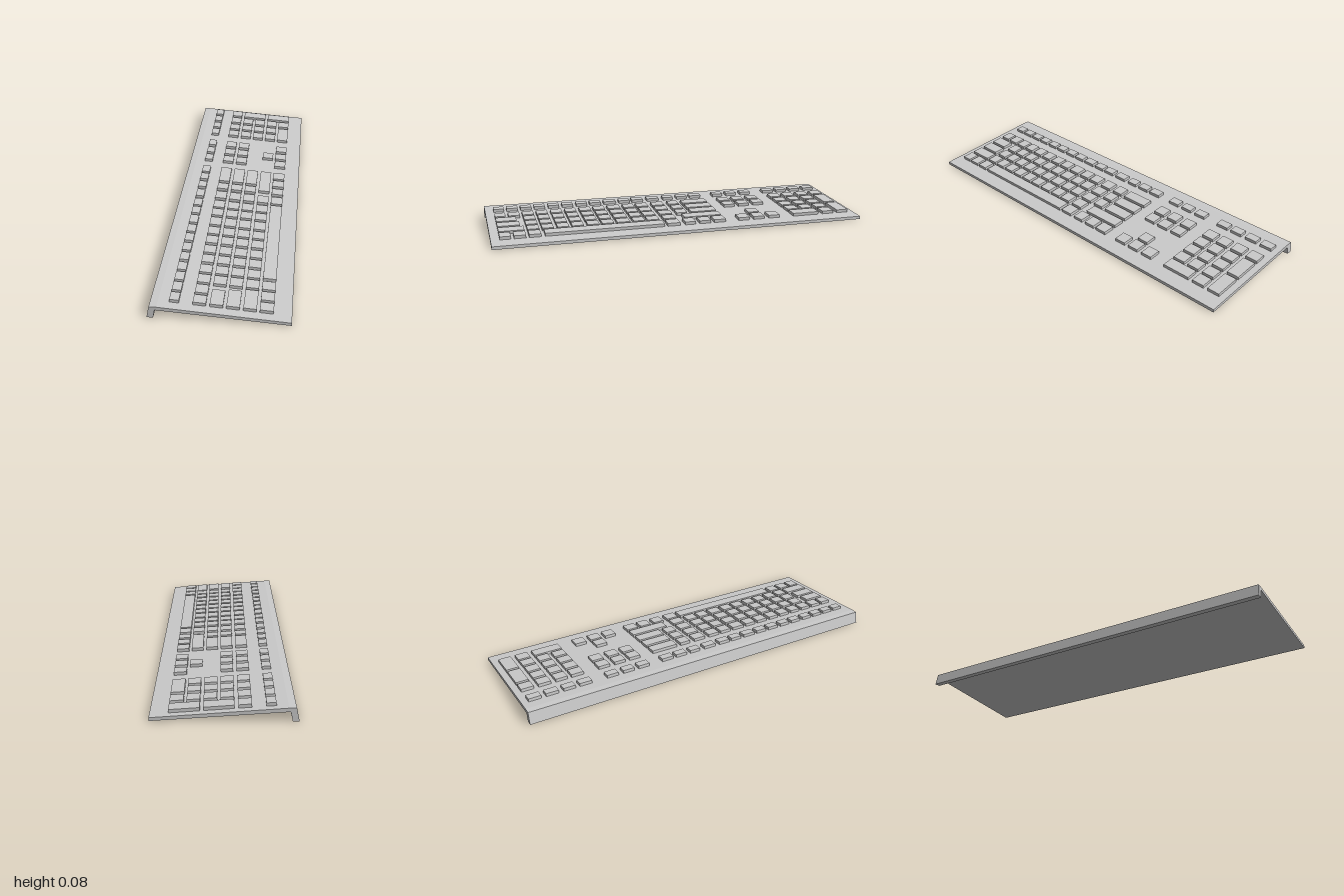
import * as THREE from 'three';

const material = new THREE.MeshStandardMaterial({ color: 0xcccccc, flatShading: true });
const SLOPE = 0.0736;   // fall of the deck per unit of x
const KEY_H = 0.016;
const deckY = (x) => 0.063 - SLOPE * (x + 0.283);

// x range of each key row: function row, then number row to space row
const ROWS = [[-0.231, -0.187], [-0.124, -0.064], [-0.047, 0.014], [0.029, 0.09], [0.106, 0.167], [0.181, 0.244]];

// z range of each key column, by block
const MAIN = [
  [0.9, 0.955], [0.825, 0.885], [0.75, 0.81], [0.676, 0.735], [0.597, 0.657],
  [0.52, 0.58], [0.438, 0.5], [0.36, 0.422], [0.273, 0.342], [0.193, 0.254],
  [0.114, 0.178], [0.02, 0.088], [-0.066, -0.008], [-0.152, -0.09], [-0.236, -0.17],
];
const NAV = [[-0.374, -0.312], [-0.46, -0.398], [-0.55, -0.488]];
const PAD = [[-0.7, -0.634], [-0.785, -0.722], [-0.876, -0.81], [-0.966, -0.9]];

// One tilted key cap standing on the deck
function addKey(group, name, [x0, x1], [z0, z1]) {
  const w = Math.abs(x1 - x0), x = (x0 + x1) / 2;
  const key = new THREE.Mesh(new THREE.BoxGeometry(w, KEY_H + 0.002, Math.abs(z1 - z0)), material);
  key.name = name;
  key.position.set(x, deckY(x) + KEY_H / 2 - 0.001, (z0 + z1) / 2);
  key.rotation.z = -Math.atan(SLOPE);
  group.add(key);
}

function block(name) {
  const g = new THREE.Group();
  g.name = name;
  return g;
}

export function createModel() {
  const model = block('keyboard');

  // Sloping deck with the rear foot, one profile run along the length
  const profile = new THREE.Shape([
    [-0.33, 0], [-0.3, 0], [-0.291, 0.045], [0.328, 0.002],
    [0.328, 0.018], [-0.283, 0.063], [-0.317, 0.063],
  ].map(([x, y]) => new THREE.Vector2(x, y)));
  const caseGeometry = new THREE.ExtrudeGeometry(profile, { depth: 2, bevelEnabled: false });
  caseGeometry.translate(0, 0, -1);
  const body = new THREE.Mesh(caseGeometry, material);
  body.name = 'case';
  model.add(body);

  // Main block: single keys by column range, wide keys after
  const main = block('mainKeys');
  const singles = [[0, 14], [0, 12], [2, 12], [2, 12], [2, 11], [0, 2]];
  singles.forEach(([a, b], r) => {
    for (let c = a; c <= b; c++) addKey(main, 'key', ROWS[r], MAIN[c]);
  });
  for (let c = 11; c <= 14; c++) addKey(main, 'modifierKey', ROWS[5], MAIN[c]);
  addKey(main, 'backspaceKey', ROWS[1], [-0.236, -0.09]);
  addKey(main, 'tabKey', ROWS[2], [0.85, 0.955]);
  addKey(main, 'backslashKey', ROWS[2], [-0.236, -0.09]);
  addKey(main, 'capsKey', ROWS[3], [0.84, 0.955]);
  addKey(main, 'enterKey', ROWS[3], [-0.236, -0.09]);
  addKey(main, 'leftShiftKey', ROWS[4], [0.825, 0.955]);
  addKey(main, 'rightShiftKey', ROWS[4], [-0.236, -0.028]);
  addKey(main, 'spaceBar', ROWS[5], [0.105, 0.73]);
  model.add(main);

  // Navigation and arrow keys
  const nav = block('navigationKeys');
  for (const r of [0, 1, 2, 5]) NAV.forEach((z) => addKey(nav, 'key', ROWS[r], z));
  addKey(nav, 'upArrowKey', ROWS[4], NAV[1]);
  model.add(nav);

  // Number pad with its tall and wide keys
  const pad = block('numberPad');
  for (let r = 0; r < 5; r++) {
    const count = r < 2 ? 4 : 3;
    PAD.slice(0, count).forEach((z) => addKey(pad, 'key', ROWS[r], z));
  }
  addKey(pad, 'plusKey', [ROWS[2][0], ROWS[3][1]], PAD[3]);
  addKey(pad, 'padEnterKey', [ROWS[4][0], ROWS[5][1]], PAD[3]);
  addKey(pad, 'zeroKey', ROWS[5], [-0.785, -0.634]);
  addKey(pad, 'decimalKey', ROWS[5], PAD[2]);
  model.add(pad);

  return model;
}
